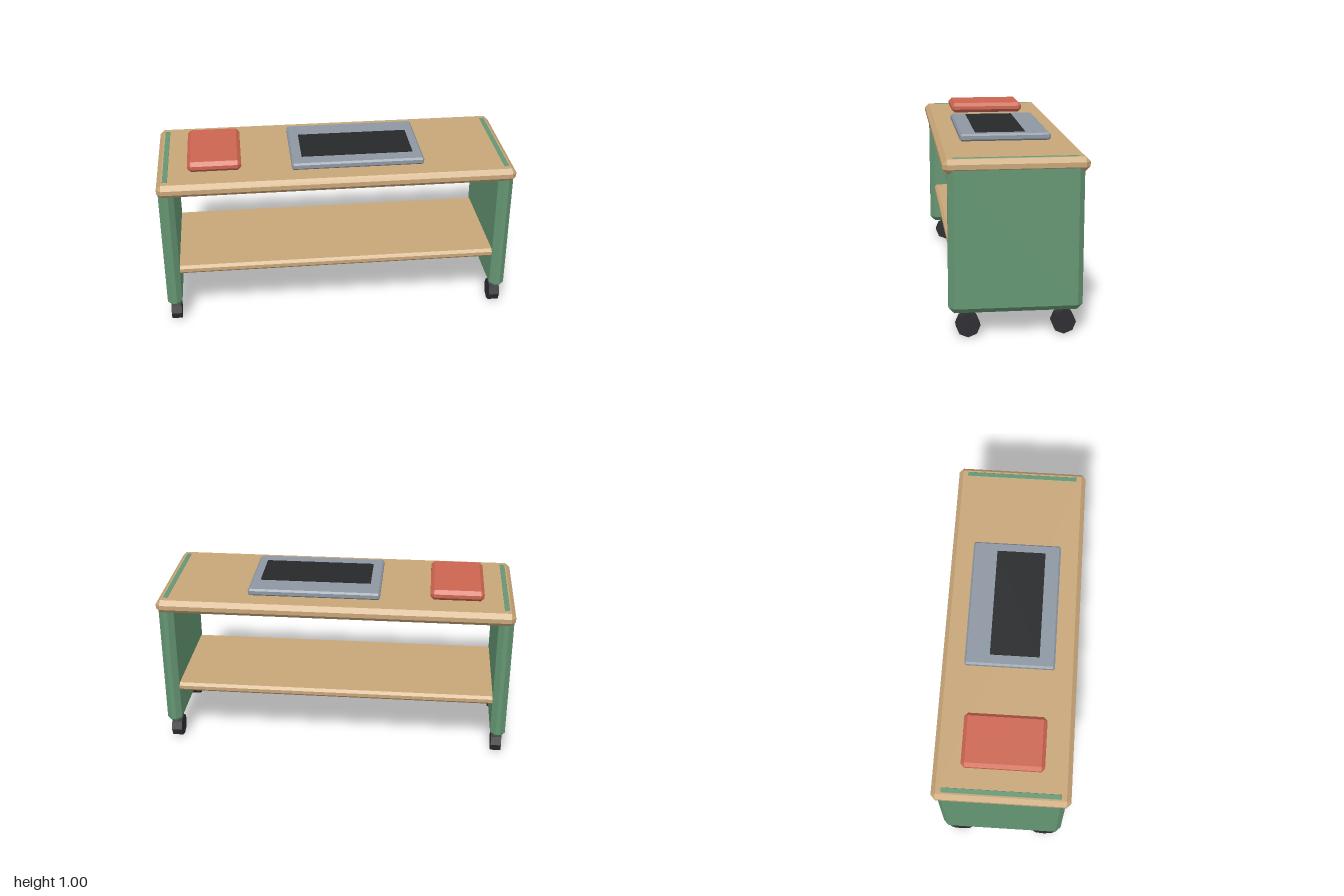
import * as THREE from 'three';
import { ConvexGeometry } from 'three/addons/geometries/ConvexGeometry.js';

const material = (color) => new THREE.MeshStandardMaterial({ color, flatShading: true });

// Box between two corners with every edge chamfered by c
function chamferBox([x0, y0, z0], [x1, y1, z1], c) {
  const centre = new THREE.Vector3(x0 + x1, y0 + y1, z0 + z1).multiplyScalar(0.5);
  const half = new THREE.Vector3(x1 - x0, y1 - y0, z1 - z0).multiplyScalar(0.5);
  const points = [];
  for (const sx of [-1, 1]) for (const sy of [-1, 1]) for (const sz of [-1, 1]) {
    for (let axis = 0; axis < 3; axis++) {
      const p = half.clone().subScalar(c);
      p.setComponent(axis, half.getComponent(axis));
      points.push(p.multiply(new THREE.Vector3(sx, sy, sz)).add(centre));
    }
  }
  return new ConvexGeometry(points);
}

export function createModel() {
  const model = new THREE.Group();
  model.name = 'rollingTable';
  const wood = material(0xc8a678);
  const green = material(0x659673);
  const rubber = material(0x2e2e33);

  const add = (name, geometry, mat) => {
    const mesh = new THREE.Mesh(geometry, mat);
    mesh.name = name;
    model.add(mesh);
    return mesh;
  };

  // Table top and lower shelf
  add('tableTop', chamferBox([-1, 0.865, -0.375], [1, 0.94, 0.375], 0.025), wood);
  add('shelf', chamferBox([-0.93, 0.34, -0.32], [0.93, 0.39, 0.32], 0.015), wood);

  // End panels, showing as thin strips in the top, each on two wheels
  const wheel = new THREE.CylinderGeometry(0.064, 0.064, 0.06, 8);
  wheel.rotateZ(Math.PI / 2);
  for (const [side, s] of [['right', -1], ['left', 1]]) {
    const panel = chamferBox([-0.0425, 0.13, -0.35], [0.0425, 0.9415, 0.35], 0.03);
    add(side + 'Panel', panel, green).position.x = s * 0.9525;
    for (const [end, z] of [['Front', 0.25], ['Back', -0.25]]) {
      add(side + end + 'Wheel', wheel, rubber).position.set(s * 0.95, 0.065, z);
    }
  }

  // Things lying on the top
  add('book', chamferBox([-0.83, 0.94, -0.225], [-0.53, 1, 0.225], 0.02), material(0xcc6550));
  add('tablet', chamferBox([-0.25, 0.94, -0.25], [0.495, 0.98, 0.25], 0.01), material(0x8d97a2));
  const screen = add('screen', new THREE.BoxGeometry(0.63, 0.01, 0.275), material(0x26282a));
  screen.position.set(0.125, 0.98, 0.025);

  return model;
}
